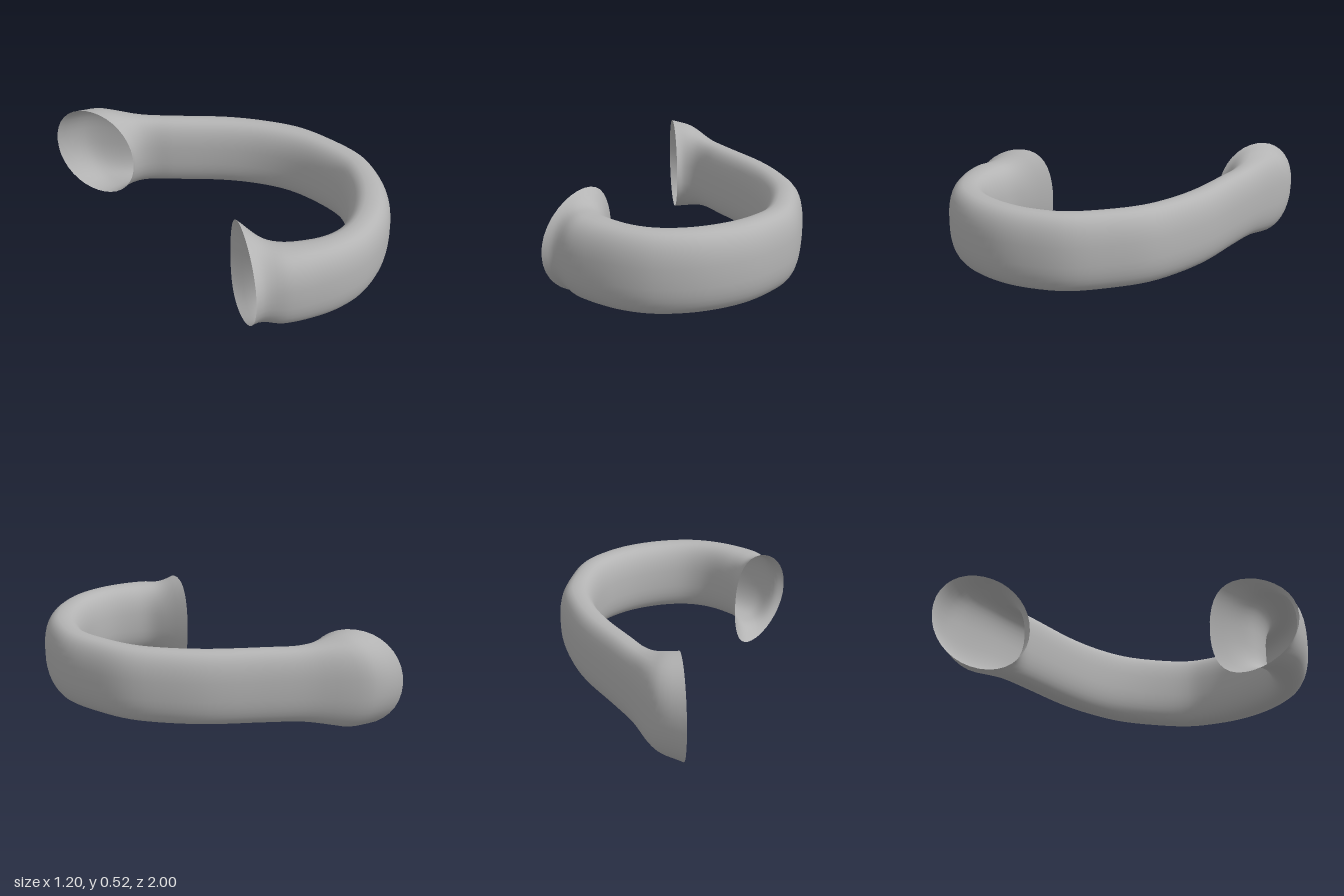
import * as THREE from 'three';

// Stations along the hook, seen from above:
// outer edge x, z, inner edge x, z, half height
const STATIONS = [
  [-0.28, -1.0, -0.155, -0.5, 0.258],
  [-0.14, -0.93, -0.125, -0.52, 0.243],
  [-0.07, -0.86, -0.075, -0.515, 0.222],
  [0.05, -0.68, -0.02, -0.48, 0.2],
  [0.2, -0.5, 0.05, -0.4, 0.197],
  [0.39, -0.28, 0.22, -0.2, 0.196],
  [0.5, -0.1, 0.33, -0.03, 0.196],
  [0.585, 0.1, 0.39, 0.13, 0.196],
  [0.6, 0.3, 0.41, 0.3, 0.197],
  [0.58, 0.53, 0.39, 0.48, 0.198],
  [0.48, 0.72, 0.33, 0.58, 0.199],
  [0.36, 0.85, 0.24, 0.67, 0.2],
  [0.18, 0.955, 0.1, 0.755, 0.201],
  [-0.03, 1.0, -0.02, 0.79, 0.203],
  [-0.2, 0.98, -0.13, 0.775, 0.205],
  [-0.36, 0.92, -0.235, 0.71, 0.207],
  [-0.46, 0.865, -0.3, 0.64, 0.208],
  [-0.54, 0.8, -0.33, 0.54, 0.216],
  [-0.6, 0.79, -0.35, 0.4, 0.262],
];
const CENTRE_Y = 0.262;
const STEPS = 72;
const SIDES = 36;

const rounded = (v, power) => Math.sign(v) * Math.pow(Math.abs(v), power);

// Hollow tube lofted through rounded oval sections, open at both ends
function tubeGeometry() {
  const outer = new THREE.CatmullRomCurve3(STATIONS.map(([x, z, , , h]) => new THREE.Vector3(x, h, z)));
  const inner = new THREE.CatmullRomCurve3(STATIONS.map(([, , x, z, h]) => new THREE.Vector3(x, h, z)));
  const positions = [];
  const indices = [];
  for (let i = 0; i <= STEPS; i++) {
    const t = i / STEPS;
    const o = outer.getPoint(t);
    const n = inner.getPoint(t);
    // the front mouth leans its crown toward the inside of the bend
    const lean = 0.25 * THREE.MathUtils.smoothstep(t, 0.9, 1);
    // the body is squarer in section than the mouths
    const mouth = THREE.MathUtils.smoothstep(Math.abs(t - 0.5), 0.38, 0.5);
    const power = THREE.MathUtils.lerp(0.8, 0.97, mouth);
    for (let j = 0; j < SIDES; j++) {
      const a = (j / SIDES) * Math.PI * 2;
      const across = rounded(Math.cos(a), power) - lean * Math.sin(a) ** 2;
      const k = (1 + across) / 2;
      positions.push(
        n.x + (o.x - n.x) * k,
        CENTRE_Y + rounded(Math.sin(a), power) * o.y,
        n.z + (o.z - n.z) * k
      );
      if (i < STEPS) {
        const p = i * SIDES + j;
        const q = i * SIDES + ((j + 1) % SIDES);
        indices.push(p, q, p + SIDES, q, q + SIDES, p + SIDES);
      }
    }
  }
  const geometry = new THREE.BufferGeometry();
  geometry.setAttribute('position', new THREE.Float32BufferAttribute(positions, 3));
  geometry.setIndex(indices);
  geometry.computeVertexNormals();
  return geometry;
}

export function createModel() {
  const group = new THREE.Group();
  group.name = 'flaredHookTube';
  const grey = new THREE.MeshStandardMaterial({ color: 0xb4b4b4, side: THREE.DoubleSide });
  grey.name = 'grey';
  const tube = new THREE.Mesh(tubeGeometry(), grey);
  tube.name = 'curvedTube';
  group.add(tube);
  return group;
}
